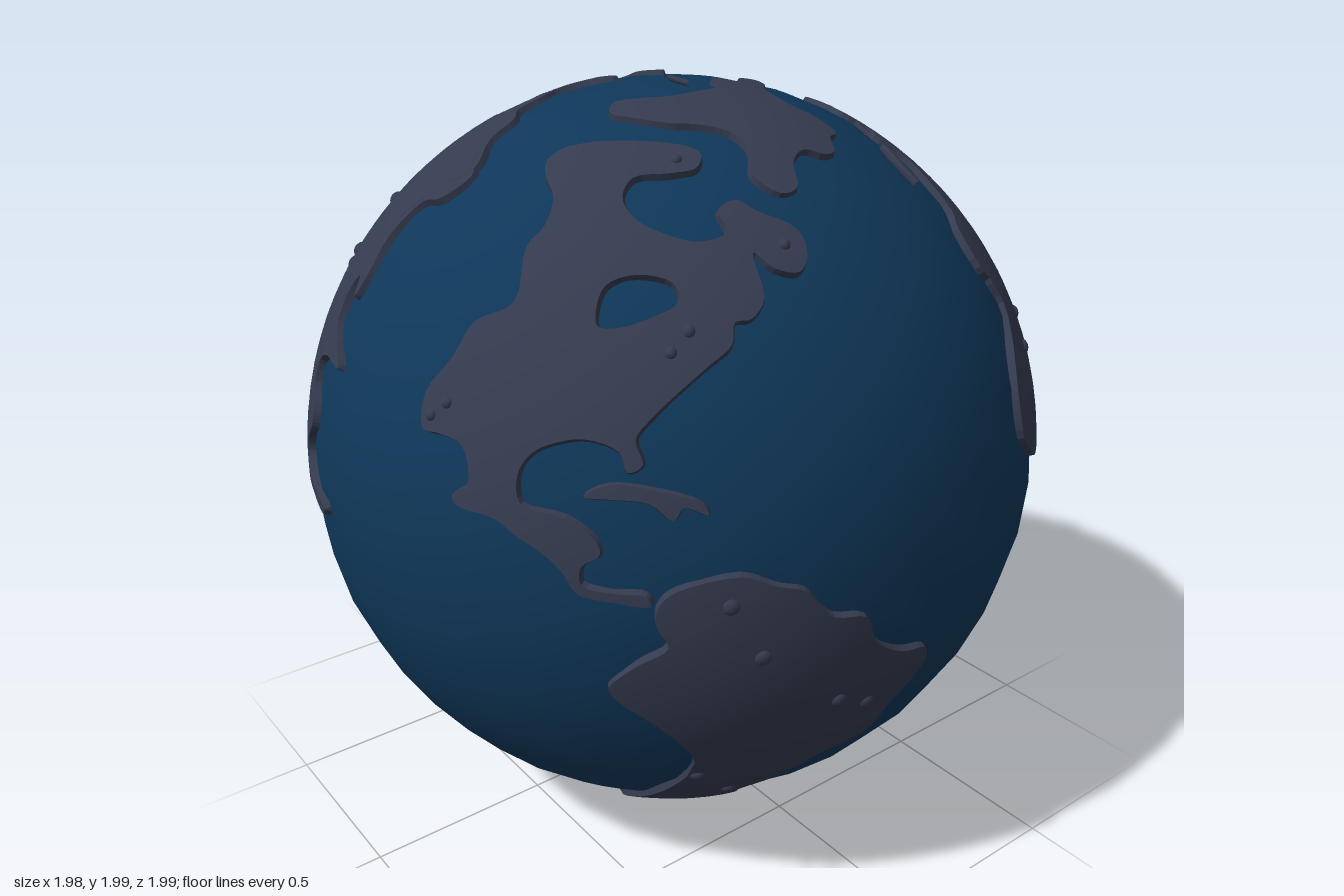
import * as THREE from 'three';
import { mergeGeometries } from 'three/addons/utils/BufferGeometryUtils.js';

const LAND = 1.0;
const V3 = (x, y, z) => new THREE.Vector3(x, y, z);

// A frame maps flat outline coordinates (hundredths) onto the globe, seen from an azimuth and elevation.
function frame(azimuth, elevation) {
  const a = azimuth * Math.PI / 180, e = elevation * Math.PI / 180;
  const right = V3(Math.cos(a), 0, -Math.sin(a));
  const up = V3(-Math.sin(a) * Math.sin(e), Math.cos(e), -Math.cos(a) * Math.sin(e));
  const out = V3(Math.sin(a) * Math.cos(e), Math.sin(e), Math.cos(a) * Math.cos(e));
  return (u, v) => {
    const w = Math.sqrt(Math.max(0, 1 - u * u - v * v));
    return V3(0, 0, 0).addScaledVector(right, u).addScaledVector(up, v).addScaledVector(out, w).normalize();
  };
}
const FRONT = frame(0, 0), SIDE = frame(90, 0), TOP = frame(0, 90);
const AMERICAS = frame(38, 25), EAST = frame(217, 25), SOUTH = frame(141, -25);

const pairs = (list) => {
  const out = [];
  for (let i = 0; i < list.length; i += 2) out.push([list[i] / 100, list[i + 1] / 100]);
  return out;
};

// Smooth closed coastline, kept inside the unit disc
function coast(list, clockwise) {
  const pts = pairs(list).map(([u, v]) => V3(u, v, 0));
  const curve = new THREE.CatmullRomCurve3(pts, true, 'centripetal');
  const line = curve.getPoints(pts.length * 4).slice(0, -1)
    .map((p) => new THREE.Vector2(p.x, p.y).clampLength(0, 0.9995));
  if (THREE.ShapeUtils.isClockWise(line) !== clockwise) line.reverse();
  return line;
}

// Raised plate that follows the globe, with a sloping shore
function plateGeometry(view, outline, hole) {
  const loops = [coast(outline, false)];
  if (hole) loops.push(coast(hole, true));
  const points = loops.flat().map((p) => view(p.x, p.y));
  const top = [], shore = [];
  const split = (a, b, c) => {
    const ab = a.distanceTo(b), bc = b.distanceTo(c), ca = c.distanceTo(a);
    const longest = Math.max(ab, bc, ca);
    if (longest < 0.09) { top.push(a, b, c); return; }
    if (bc === longest) return split(b, c, a);
    if (ca === longest) return split(c, a, b);
    const m = a.clone().add(b).normalize();
    split(a, m, c);
    split(m, b, c);
  };
  for (const [i, j, k] of THREE.ShapeUtils.triangulateShape(loops[0], loops.slice(1))) {
    const [a, b, c] = [points[i], points[j], points[k]];
    const facing = b.clone().sub(a).cross(c.clone().sub(a)).dot(a);
    if (facing >= 0) split(a, b, c); else split(a, c, b);
  }
  let start = 0;
  for (const loop of loops) {
    const n = loop.length;
    const at = (i) => points[start + (i + n) % n];
    const base = (i) => {
      const outward = at(i + 1).clone().sub(at(i - 1)).cross(at(i)).normalize();
      return at(i).clone().addScaledVector(outward, 0.008).normalize().multiplyScalar(0.972);
    };
    for (let i = 0; i < n; i++) {
      const a = at(i).clone().multiplyScalar(LAND), b = at(i + 1).clone().multiplyScalar(LAND);
      const A = base(i), B = base(i + 1);
      shore.push(a, A, B, a, B, b);
    }
    start += n;
  }
  const cap = new THREE.BufferGeometry().setFromPoints(top.map((p) => p.clone().multiplyScalar(LAND)));
  cap.setAttribute('normal', new THREE.Float32BufferAttribute(top.flatMap((p) => [p.x, p.y, p.z]), 3));
  const wall = new THREE.BufferGeometry().setFromPoints(shore);
  wall.computeVertexNormals();
  return mergeGeometries([cap, wall]);
}

export function createModel() {
  const ocean = new THREE.MeshStandardMaterial({ color: 0x0f3759 });
  ocean.name = 'ocean blue';
  const land = new THREE.MeshStandardMaterial({ color: 0x353b4f });
  land.name = 'land slate';

  const model = new THREE.Group();
  const globe = new THREE.Group();
  globe.name = 'globe';
  globe.position.set(-0.005, 1, 0);
  model.add(globe);
  const add = (name, geometry, material = land) => {
    const mesh = new THREE.Mesh(geometry, material);
    mesh.name = name;
    globe.add(mesh);
    return mesh;
  };
  const plate = (name, view, outline, hole) => add(name, plateGeometry(view, outline, hole));

  // Water
  add('ocean', new THREE.SphereGeometry(0.988, 32, 20), ocean);

  // Continents
  plate('southAmerica', SIDE, [-63, 2, -60, 6, -48, 9, -41, 6, -35, 4, -32, 0, -28, -4, -20, -6, -16, -14, -7, -20,
    1, -22, 3, -26, 0, -33, -4, -39, -6, -48, -12, -51, -17, -52, -25, -62, -30, -67, -29, -71, -36, -79, -38, -83,
    -32, -92, -35, -92, -41, -86, -46, -79, -48, -67, -48, -53, -50, -45, -60, -32, -68, -24, -70, -20, -66, -13,
    -61, -8, -63, -3]);

  plate('northAmerica', AMERICAS, [-17, 58, -13, 62, 13, 64, 18, 62, 18, 58, 13, 56, 5, 54, 4, 49, 8, 44, 15, 41,
    23, 40, 28, 43, 25, 48, 28, 51, 33, 49, 42, 46, 45, 40, 44, 36, 39, 36, 34, 39, 38, 29, 36, 24, 33, 23, 33, 18,
    29, 13, 19, 1, 16, -4, 18, -9, 15, -11, 13, -7, 6, -5, 0, -6, -6, -9, -9, -14, -8, -20, 2, -22, 9, -26, 10, -29,
    6, -32, 6, -36, 13, -37, 20, -37, 21, -39, 13, -39, 5, -38, 2, -34, -3, -30, -9, -27, -14, -24, -24, -22,
    -25, -20, -21, -17, -23, -9, -29, -7, -34, -6, -34, 2, -28, 10, -24, 18, -15, 23, -15, 36, -12, 41, -12, 48,
    -16, 54],
  [4, 22, 5, 28, 11, 31, 19, 30, 21, 26, 16, 22, 9, 19, 5, 19]);

  plate('caribbeanIsland', AMERICAS, [6, -17, 11, -14, 20, -14, 31, -16, 32, -18, 27, -17, 25, -20, 20, -17, 11, -17]);

  plate('greenland', TOP, [9, 20, 14, 19, 20, 14, 30, 14, 35, 17, 42, 18, 44, 14, 49, 11, 50, 7, 48, 2, 51, -4,
    57, -8, 57, -13, 51, -16, 45, -12, 38, -12, 32, -17, 28, -22, 20, -27, 14, -29, 10, -25, 13, -20, 17, -14,
    18, -8, 17, 2, 11, 4, 9, 7, 14, 10, 9, 15]);

  plate('europe', TOP, [-10, 66, -4, 71, 5, 73, 6, 78, 14, 78, 22, 74, 31, 74, 36, 76, 41, 70, 46, 63, 50, 60,
    56, 61, 63, 53, 70, 47, 70, 42, 63, 41, 57, 45, 49, 45, 41, 44, 35, 39, 30, 42, 25, 37, 18, 39, 16, 40, 6, 41,
    3, 46, 5, 51, 2, 59, -6, 61]);

  plate('africa', SOUTH, [-43, 54, -42, 62, -37, 69, -26, 79, -26, 83, -18, 86, -2, 86, 15, 86, 25, 81, 36, 77,
    45, 71, 46, 62, 49, 54, 49, 47, 47, 40, 53, 32, 55, 24, 49, 18, 47, 9, 43, 6, 42, -4, 37, -14, 31, -17, 24, -14,
    21, -9, 22, 1, 16, 9, 14, 18, 17, 26, 15, 33, 8, 39, 6, 48, -2, 53, -13, 54, -24, 49, -32, 48, -39, 51]);

  // Asia in three overlapping plates
  plate('asiaSouth', EAST, [3, 63, 11, 59, 19, 54, 29, 53, 35, 59, 58, 61, 66, 51, 67, 40, 67, 33, 58, 22, 40, 18,
    44, 9, 53, 2, 61, -10, 60, -32, 62, -52, 53, -63, 42, -71, 35, -85, 21, -92, 11, -99, -6, -99, -14, -89,
    -25, -82, -39, -72, -41, -57, -36, -49, -41, -35, -42, -24, -33, -17, -35, -10, -44, -3, -47, 7, -44, 15,
    -54, 18, -52, 21, -39, 17, -29, 21, -27, 32, -19, 40, -13, 54, -6, 61]);

  plate('asiaEast', FRONT, [-12, 89, -8, 84, -1, 81, -5, 76, -12, 74, -15, 70, -17, 65, -16, 58, -18, 52, -21, 56,
    -24, 52, -23, 45, -17, 41, -12, 37, -22, 37, -29, 34, -30, 28, -26, 22, -26, 18, -31, 13, -32, 9, -28, 5, -20, 3,
    -13, 1, -14, -1, -25, 1, -31, 2, -34, 7, -44, 10, -51, 6, -57, 5, -63, 11, -68, 6, -73, 12, -75, 19, -77, 28,
    -81, 17, -85, 17, -84, 25, -79, 32, -83, 40, -81, 45, -84, 52, -72, 66, -51, 80, -25, 86]);

  plate('asiaNorth', TOP, [-20, 78, -22, 64, -20, 53, -22, 43, -25, 35, -39, 32, -42, 24, -56, 22, -61, 20, -48, 19,
    -39, 17, -32, 21, -25, 23, -22, 19, -30, 12, -24, 11, -16, 8, -9, 4, -18, 3, -29, 6, -34, 4, -31, -2, -24, -8,
    -10, -10, -18, -13, -22, -20, -19, -27, -18, -35, -12, -40, -10, -48, -3, -57, -12, -64, -19, -70, -26, -83,
    -50, -75, -72, -61, -82, -48, -80, -38, -72, -35, -69, -24, -77, -16, -69, 0, -72, 11, -79, 24, -80, 37,
    -77, 50, -60, 68, -40, 80],
  [-49, -5, -42, -2, -34, -4, -28, -11, -26, -21, -25, -30, -30, -34, -39, -29, -45, -20]);

  // Thin ridges
  const ridge = (name, view, list, radius = 0.008) => {
    const path = new THREE.CatmullRomCurve3(pairs(list).map(([u, v]) => view(u, v).multiplyScalar(0.995)));
    add(name, new THREE.TubeGeometry(path, 32, radius, 6));
  };
  ridge('eastAfricanRidge', SOUTH, [19, 62, 26, 54, 37, 48, 49, 37, 59, 30]);
  ridge('antarcticCoast', frame(0, -90), [6, -34, 20, -28, 32, -22, 25, -5, 17, 11, 13, 31], 0.011);
  ridge('arcticIslet', TOP, [3, -3, 7, -3.5, 11, -3]);
  ridge('northIslet', TOP, [42, 35, 48, 34, 54, 35], 0.012);
  ridge('smallNorthIslet', TOP, [31, 36, 37, 35]);

  // Small hills and islets
  const hillShape = new THREE.SphereGeometry(1, 12, 8);
  const hills = (name, view, list, size) => {
    const group = new THREE.Group();
    group.name = name;
    for (const [u, v] of pairs(list)) {
      const hill = new THREE.Mesh(hillShape, land);
      hill.name = 'hill';
      hill.position.copy(view(u, v)).multiplyScalar(0.995);
      hill.lookAt(hill.position.clone().multiplyScalar(2));
      hill.scale.set(size, size, 0.014);
      group.add(hill);
    }
    globe.add(group);
  };
  hills('asiaHills', EAST, [4, 42, 23, 42, 43, 38, -19, -3, 32, -39, -18, -41, -27, -55, 50, -62, -3, -79, 32, -78,
    -42, 7, 9, 9, -8, 20, 29, 0, 12, -18, 12, -60], 0.028);
  hills('eastAsiaHills', FRONT, [-56, 73, -45, 68, -45, 56, -62, 52, -54, 50, -59, 38, -69, 29, -74, 37, -76, 24], 0.02);
  hills('southAmericaHills', SIDE, [-50, 2, -43, -12, -22, -30, -13, -34, -46, -54, -34, -65], 0.021);
  hills('africaHills', SOUTH, [-4, 74, 11, 73, 24, 76, -20, 70, 37, 37, 21, 7, 24, 9, 43, 32], 0.02);
  hills('northAmericaHills', AMERICAS, [-28, 0, -32, -3, 13, 60, 21, 15, 24, 20, 40, 42], 0.015);
  hills('northSeaIslets', TOP, [-14, 76, -17, 74, -12, 78, -14, 73], 0.018);

  return model;
}
